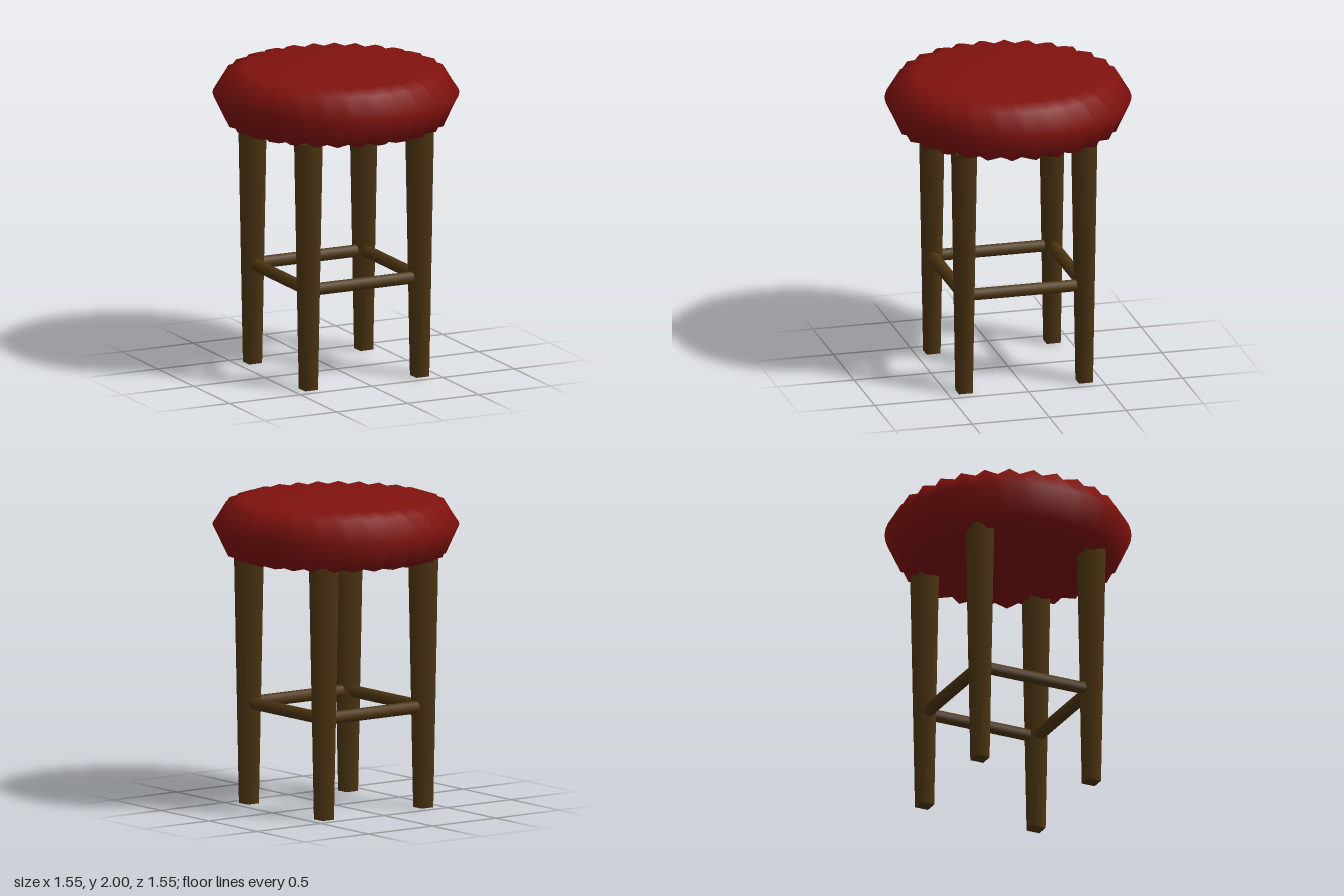
import * as THREE from 'three';
import { mergeVertices } from 'three/addons/utils/BufferGeometryUtils.js';

const PLEATS = 28;

// Cushion: a lathe whose every second meridian is pulled in to form pleats
function cushionGeometry() {
  const ridge = [[0, 1.535], [0.59, 1.575], [0.69, 1.605], [0.775, 1.79], [0.69, 1.93], [0.59, 1.963], [0, 2]];
  const valley = [[0, 1.535], [0.575, 1.59], [0.655, 1.625], [0.775, 1.79], [0.655, 1.91], [0.575, 1.948], [0, 2]];
  const geo = new THREE.LatheGeometry(ridge.map(([r, y]) => new THREE.Vector2(r, y)), PLEATS * 2);
  const pos = geo.attributes.position;
  const n = ridge.length;
  for (let i = 0; i < pos.count; i++) {
    const meridian = Math.floor(i / n);
    const [r, y] = (meridian % 2 ? valley : ridge)[i % n];
    const a = ((meridian % (PLEATS * 2)) / (PLEATS * 2)) * Math.PI * 2;
    pos.setXYZ(i, r * Math.sin(a), y, r * Math.cos(a));
  }
  // weld the seam so the shading runs smoothly all round
  geo.deleteAttribute('uv');
  geo.deleteAttribute('normal');
  const welded = mergeVertices(geo);
  welded.computeVertexNormals();
  return welded;
}

export function createModel() {
  const stool = new THREE.Group();
  stool.name = 'stool';
  const fabric = new THREE.MeshStandardMaterial({ color: 0x80120e });
  const wood = new THREE.MeshStandardMaterial({ color: 0x4d3512 });

  const add = (name, geo, material) => {
    const mesh = new THREE.Mesh(geo, material);
    mesh.name = name;
    stool.add(mesh);
    return mesh;
  };

  add('cushion', cushionGeometry(), fabric);

  // Square legs tapering towards the floor
  const LEG = 0.39, HEIGHT = 1.6;
  const legGeo = new THREE.CylinderGeometry(0.067 * Math.SQRT2, 0.045 * Math.SQRT2, HEIGHT, 4);
  legGeo.rotateY(Math.PI / 4);
  for (const [side, x] of [['Left', LEG], ['Right', -LEG]]) {
    for (const [end, z] of [['front', LEG], ['back', -LEG]]) {
      add(`${end}${side}Leg`, legGeo, wood).position.set(x, HEIGHT / 2, z);
    }
  }

  // Round stretchers joining neighbouring legs
  const railGeo = new THREE.CylinderGeometry(0.04, 0.04, LEG * 2, 8);
  railGeo.rotateZ(Math.PI / 2);
  ['front', 'left', 'back', 'right'].forEach((where, i) => {
    const a = (i * Math.PI) / 2;
    const rail = add(`${where}Stretcher`, railGeo, wood);
    rail.position.set(Math.sin(a) * LEG, 0.64, Math.cos(a) * LEG);
    rail.rotation.y = a;
  });

  return stool;
}
